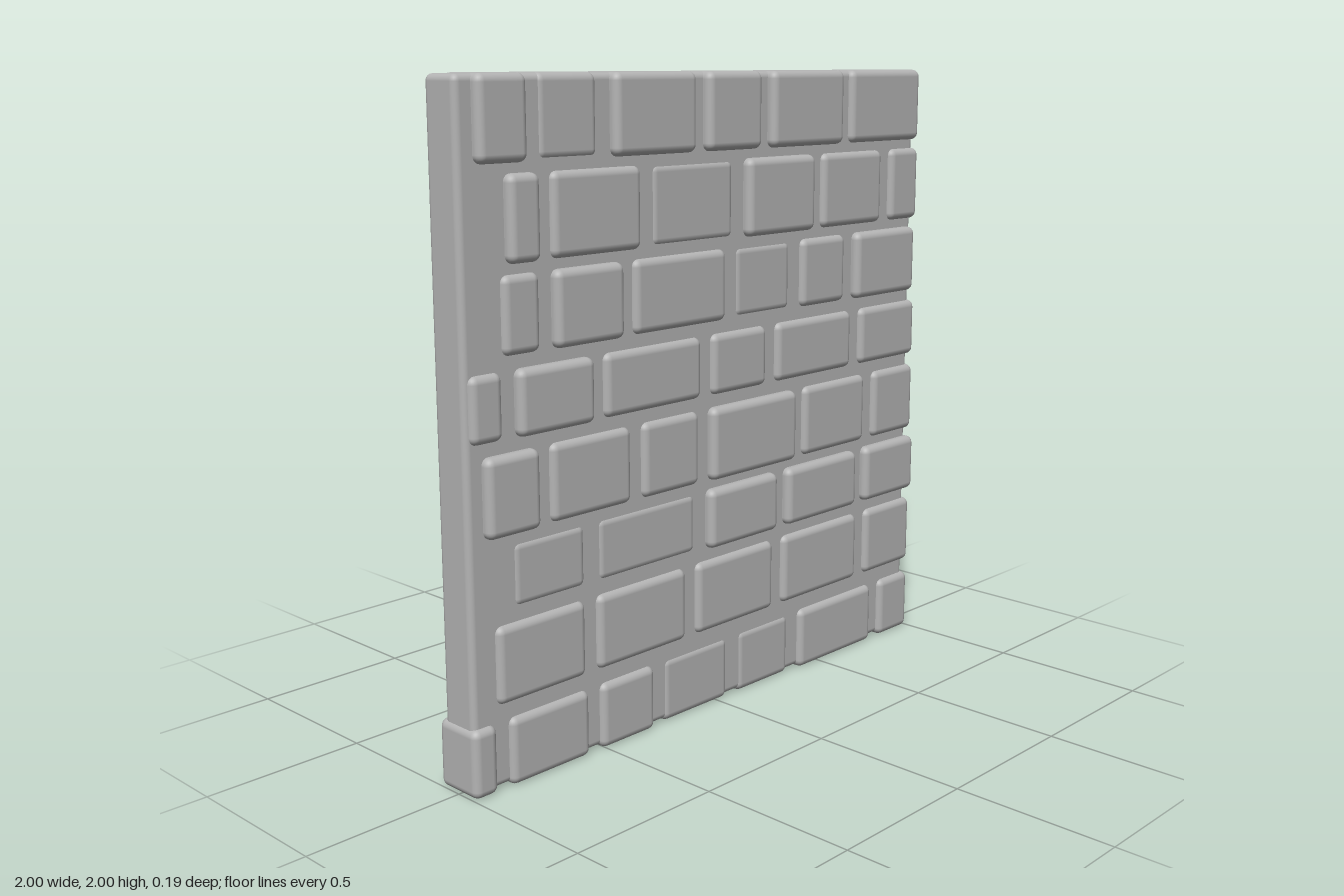
import * as THREE from 'three';
import { RoundedBoxGeometry } from 'three/addons/geometries/RoundedBoxGeometry.js';

const stone = new THREE.MeshStandardMaterial({ color: 0xb4b4b4 });
stone.name = 'grey stone';

const JOINT = 0.06; // mortar width between neighbouring stones
const SOFT = 0.006; // extra reach for the rounded rims
const SHIFT = 0.012; // how far a stone is pushed forward or back

// Courses from the bottom up: height span, left start, right end of each stone,
// and whether each stone is pushed forward (1), back (-1) or neither (0)
const COURSES = [
  { y: [0, 0.2], start: -1, ends: [-0.92, -0.57, -0.3, 0.04, 0.34, 0.78, 1], push: [0, 0, 0, -1, -1, 0, 0] },
  { y: [0.26, 0.48], start: -0.9, ends: [-0.58, -0.16, 0.25, 0.69, 1], push: [0, 0, 0, 0, 0] },
  { y: [0.53, 0.71], start: -0.83, ends: [-0.57, -0.11, 0.26, 0.67, 1], push: [-1, -1, 1, 1, 1] },
  { y: [0.75, 0.97], start: -0.93, ends: [-0.75, -0.39, -0.1, 0.35, 0.72, 1], push: [1, 0, 0, 1, 0, 0] },
  { y: [1.02, 1.2], start: -0.97, ends: [-0.87, -0.54, -0.09, 0.21, 0.64, 1], push: [0, 1, 0, 0, 0, 0] },
  { y: [1.25, 1.46], start: -0.85, ends: [-0.73, -0.42, 0.02, 0.33, 0.6, 0.97], push: [0, 1, 0, -1, 0, 1] },
  { y: [1.5, 1.73], start: -0.83, ends: [-0.73, -0.34, 0.06, 0.43, 0.79, 1], push: [1, 0, -1, 1, 0, 0] },
  { y: [1.77, 2], start: -0.93, ends: [-0.77, -0.5, -0.12, 0.17, 0.57, 1], push: [1, -1, 1, 1, 1, 0] },
];

// Rounded block between two corners
function block(name, x0, x1, y0, y1, z0, z1, radius) {
  const mesh = new THREE.Mesh(new RoundedBoxGeometry(x1 - x0, y1 - y0, z1 - z0, 3, radius), stone);
  mesh.position.set((x0 + x1) / 2, (y0 + y1) / 2, (z0 + z1) / 2);
  mesh.name = name;
  return mesh;
}

export function createModel() {
  const wall = new THREE.Group();
  wall.name = 'stoneWall';

  // Mortar body showing in the joints
  wall.add(block('mortarCore', -0.99, 0.985, 0.008, 1.998, -0.067, 0.063, 0.02));

  // Stones run right through the wall, so one pushed forward is sunken behind
  COURSES.forEach(({ y, start, ends, push }, i) => {
    const course = new THREE.Group();
    course.name = `stoneCourse${i + 1}`;
    ends.forEach((end, j) => {
      const left = j === 0 ? start : ends[j - 1] + JOINT;
      const z = push[j] * SHIFT;
      course.add(block('stone',
        Math.max(-1, left - SOFT), Math.min(1, end + SOFT),
        Math.max(0, y[0] - SOFT), Math.min(2, y[1] + SOFT),
        z - 0.085, z + 0.081, 0.024));
    });
    wall.add(course);
  });
  return wall;
}
